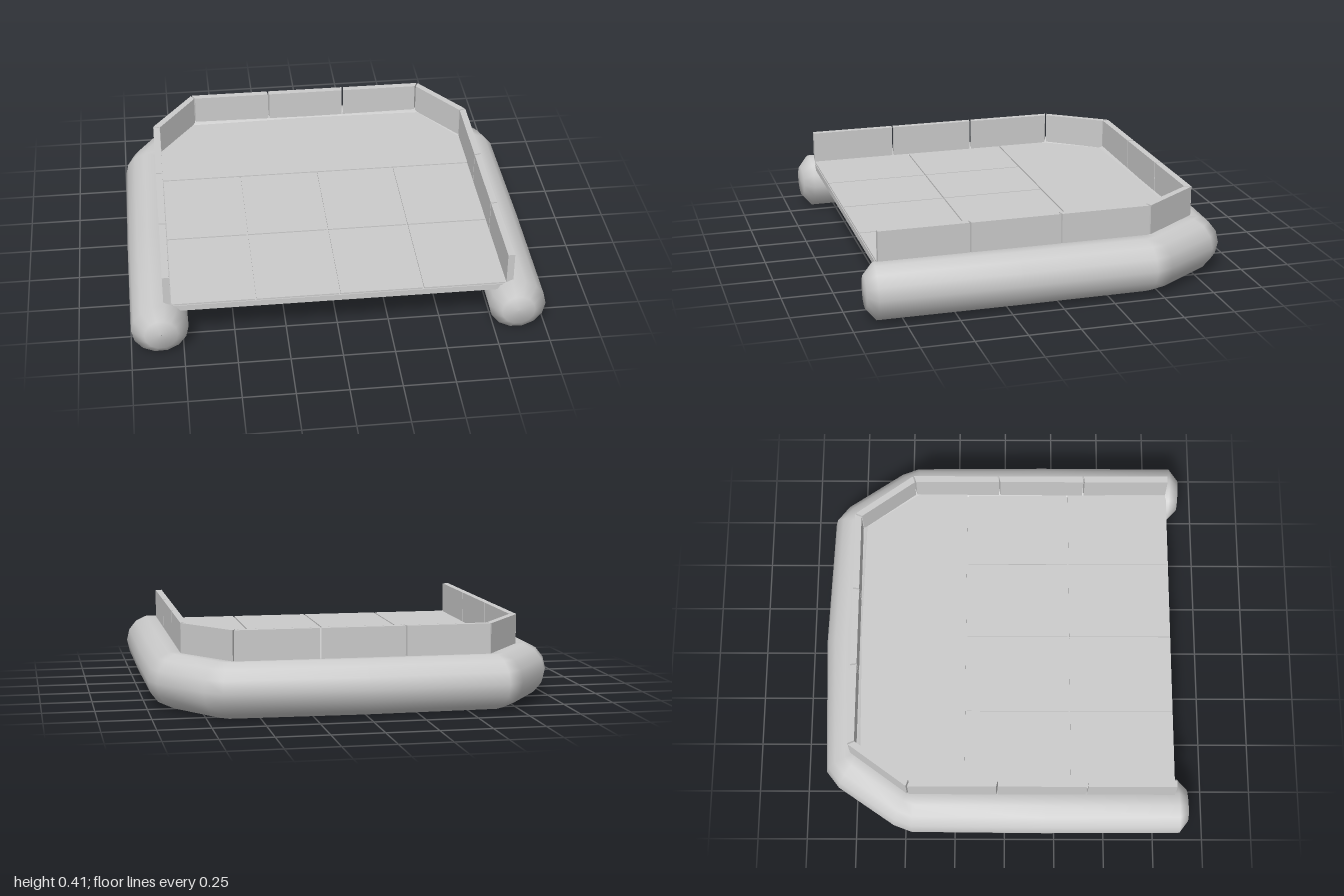
import * as THREE from 'three';

const material = new THREE.MeshStandardMaterial({ color: 0xcccccc });

// Vertical prism over a footprint of [x, z] points
function prism(name, points, bottom, top) {
  const shape = new THREE.Shape(points.map(([x, z]) => new THREE.Vector2(x, z)));
  const geometry = new THREE.ExtrudeGeometry(shape, { depth: top - bottom, bevelEnabled: false });
  geometry.rotateX(Math.PI / 2).translate(0, top, 0);
  const mesh = new THREE.Mesh(geometry, material);
  mesh.name = name;
  return mesh;
}

const mirror = (points) => points.map(([x, ...rest]) => [-x, ...rest]).reverse();

// Round float swept along a horizontal path of [x, z, radius] rings
function sweptFloat(rings, height, sides) {
  const centres = rings.map(([x, z]) => new THREE.Vector3(x, height, z));
  const up = new THREE.Vector3(0, 1, 0);
  const positions = [], index = [];
  centres.forEach((centre, i) => {
    const tangent = new THREE.Vector3();
    if (i > 0) tangent.add(centre.clone().sub(centres[i - 1]).normalize());
    if (i < centres.length - 1) tangent.add(centres[i + 1].clone().sub(centre).normalize());
    const out = tangent.normalize().cross(up);
    for (let j = 0; j < sides; j++) {
      const a = (j / sides) * Math.PI * 2;
      const r = rings[i][2];
      const p = centre.clone().addScaledVector(out, r * Math.cos(a)).addScaledVector(up, r * Math.sin(a));
      positions.push(p.x, p.y, p.z);
      if (i < centres.length - 1) {
        const k = (j + 1) % sides;
        const p0 = i * sides + j, p1 = i * sides + k;
        index.push(p0, p0 + sides, p1, p1, p0 + sides, p1 + sides);
      }
    }
  });
  const geometry = new THREE.BufferGeometry();
  geometry.setAttribute('position', new THREE.Float32BufferAttribute(positions, 3));
  geometry.setIndex(index);
  geometry.computeVertexNormals();
  return geometry;
}

export function createModel() {
  const model = new THREE.Group();

  // U-shaped float with blunt rounded ends
  const R = 0.136;
  const half = [
    [0.855, 0.922, 0.001], [0.855, 0.918, 0.08], [0.859, 0.87, R], [0.863, 0.2, R],
    [0.86, -0.44, R], [0.84, -0.49, R], [0.665, -0.745, R], [0.635, -0.772, R],
  ];
  const float = new THREE.Mesh(sweptFloat([...half, [0, -0.787, R], ...mirror(half)], 0.136, 14), material);
  float.name = 'float';
  model.add(float);

  // Deck slab
  const outer = [[0.835, 0.85], [0.835, -0.48], [0.62, -0.775]];
  const inner = [[0.802, 0.85], [0.802, -0.468], [0.605, -0.742]];
  model.add(prism('deckSlab', [...outer, ...mirror(outer)], 0.22, 0.25));

  // Deck boards: two rows of four, and one piece with cut corners at the back
  const deck = new THREE.Group();
  deck.name = 'deckBoards';
  const g = 0.004;
  for (const [z0, z1] of [[-0.195, 0.327], [0.327, 0.85]]) {
    for (let i = 0; i < 4; i++) {
      const x0 = -0.802 + i * 0.401 + g, x1 = x0 + 0.401 - 2 * g;
      deck.add(prism('deckBoard', [[x0, z0 + g], [x1, z0 + g], [x1, z1 - g], [x0, z1 - g]], 0.25, 0.258));
    }
  }
  const back = [[0.802, -0.195 - g], ...inner.slice(1)];
  deck.add(prism('backDeckBoard', [...back, ...mirror(back)], 0.25, 0.258));
  model.add(deck);

  // Low wall of separate panels with mitred corners
  const wall = new THREE.Group();
  wall.name = 'wall';
  const outerLine = [...outer, ...mirror(outer)];
  const innerLine = [...inner, ...mirror(inner)];
  const counts = [3, 1, 3, 1, 3];
  counts.forEach((count, s) => {
    const along = (line, t) => [0, 1].map((k) => line[s][k] + (line[s + 1][k] - line[s][k]) * t);
    const length = Math.hypot(outerLine[s + 1][0] - outerLine[s][0], outerLine[s + 1][1] - outerLine[s][1]);
    const gap = 0.004 / length;
    for (let i = 0; i < count; i++) {
      const t0 = i / count + gap, t1 = (i + 1) / count - gap;
      wall.add(prism('wallPanel',
        [along(outerLine, t0), along(outerLine, t1), along(innerLine, t1), along(innerLine, t0)], 0.25, 0.415));
    }
  });
  model.add(wall);

  return model;
}
